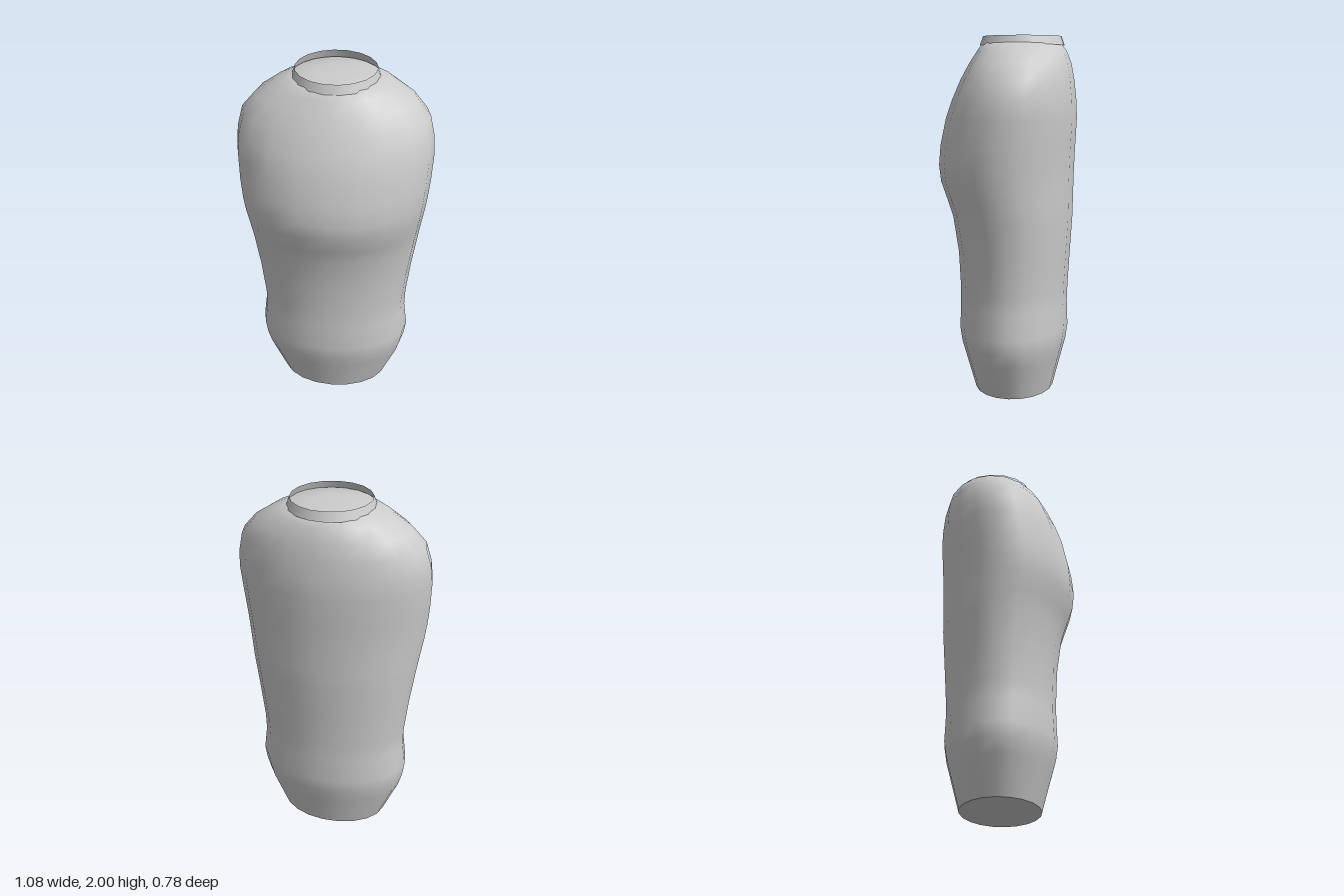
import * as THREE from 'three';

const SIDES = 20;

// Body rings: [height, half width, front z, back z]
const RINGS = [
  [0, 0.31, 0.185, -0.26],
  [0.2, 0.4, 0.24, -0.312],
  [0.28, 0.423, 0.263, -0.333],
  [0.36, 0.435, 0.275, -0.345],
  [0.5, 0.418, 0.27, -0.34],
  [0.6, 0.421, 0.27, -0.343],
  [0.8, 0.445, 0.28, -0.355],
  [1.0, 0.475, 0.31, -0.368],
  [1.1, 0.49, 0.343, -0.37],
  [1.2, 0.506, 0.378, -0.372],
  [1.29, 0.518, 0.388, -0.375],
  [1.4, 0.53, 0.378, -0.38],
  [1.55, 0.54, 0.345, -0.388],
  [1.65, 0.534, 0.31, -0.384],
  [1.76, 0.508, 0.262, -0.372],
  [1.85, 0.43, 0.215, -0.355],
  [1.92, 0.325, 0.172, -0.328],
  [1.962, 0.232, 0.145, -0.295],
  [1.97, 0.11, 0.03, -0.18],
];

// Point on the elliptical outline of one ring
function ringPoint([y, w, front, back], i) {
  const a = (i / SIDES) * Math.PI * 2;
  return [w * Math.sin(a), y, (front + back) / 2 + ((front - back) / 2) * Math.cos(a)];
}

// Smooth skin through all rings, closed at the top by a shallow fan
function bodyGeometry() {
  const pos = [], index = [];
  RINGS.forEach((ring) => {
    for (let i = 0; i < SIDES; i++) pos.push(...ringPoint(ring, i));
  });
  const last = RINGS.length - 1;
  for (let r = 0; r < last; r++) {
    for (let i = 0; i < SIDES; i++) {
      const j = (i + 1) % SIDES;
      const a = r * SIDES + i, b = r * SIDES + j;
      index.push(a, b, b + SIDES, a, b + SIDES, a + SIDES);
    }
  }
  const pole = pos.length / 3;
  pos.push(0, 1.972, -0.075);
  for (let i = 0; i < SIDES; i++) {
    index.push(last * SIDES + i, last * SIDES + ((i + 1) % SIDES), pole);
  }
  const geo = new THREE.BufferGeometry();
  geo.setAttribute('position', new THREE.Float32BufferAttribute(pos, 3));
  geo.setIndex(index);
  geo.computeVertexNormals();
  return geo;
}

// Flat disc closing the underside
function baseGeometry() {
  const pts = [];
  for (let i = 0; i < SIDES; i++) {
    const [x, , z] = ringPoint(RINGS[0], i);
    pts.push(new THREE.Vector2(x, z));
  }
  return new THREE.ShapeGeometry(new THREE.Shape(pts)).rotateX(Math.PI / 2);
}

export function createModel() {
  const grey = new THREE.MeshStandardMaterial({ color: 0xcccccc, side: THREE.DoubleSide });
  grey.name = 'light grey';

  const group = new THREE.Group();
  group.name = 'torso';
  const add = (name, geo) => {
    const mesh = new THREE.Mesh(geo, grey);
    mesh.name = name;
    group.add(mesh);
    return mesh;
  };

  add('body', bodyGeometry());
  add('base', baseGeometry());

  // Open collar ring, tapering slightly upward
  const collar = new THREE.CylinderGeometry(0.22, 0.238, 0.05, 18, 1, true);
  collar.rotateY(Math.PI / 18);
  add('collar', collar).position.set(0, 1.975, -0.08);

  return group;
}
